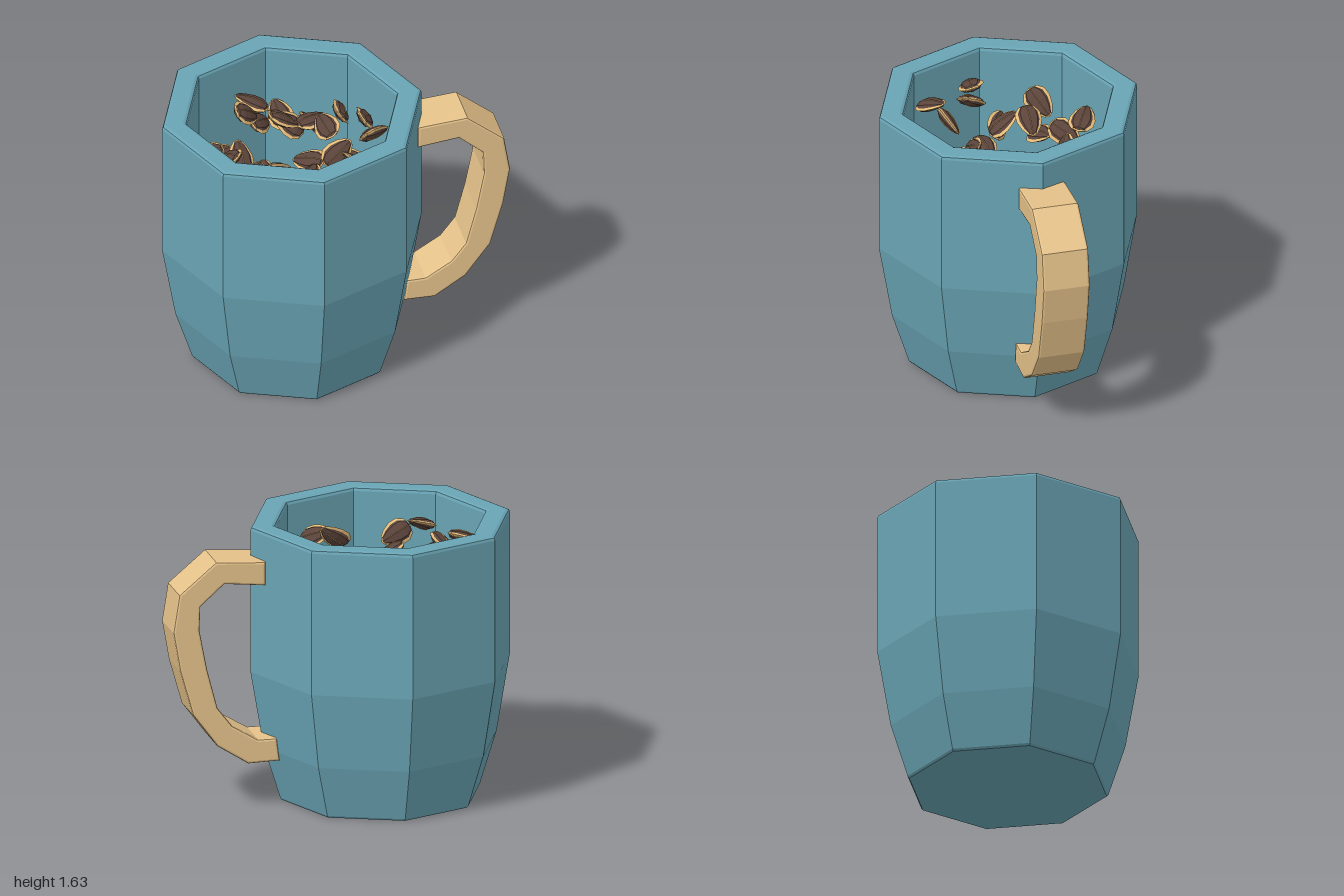
import * as THREE from 'three';

const paint = (color) => new THREE.MeshStandardMaterial({ color, flatShading: true });
const teal = paint(0x69a4b4), wood = paint(0xe5c28a), brown = paint(0x5c443b), cream = paint(0xe3bb78);

function part(name, geometry, material) {
  const mesh = new THREE.Mesh(geometry, material);
  mesh.name = name;
  return mesh;
}

// Eight-sided cup: outside wall, soft rim, inside wall and floor in one profile
function makeCup() {
  const profile = [
    [0, 0], [0.572, 0], [0.582, 0.012], [0.68, 0.32], [0.757, 0.77],
    [0.757, 1.605], [0.751, 1.62], [0.735, 1.627], [0.635, 1.627], [0.619, 1.62],
    [0.612, 1.605], [0.612, 0.77], [0.56, 0.45], [0, 0.45],
  ].map(([r, y]) => new THREE.Vector2(r, y));
  const cup = part('cup', new THREE.LatheGeometry(profile, 8), teal);
  cup.position.x = -0.243;
  return cup;
}

// Faceted handle: side outline extruded across, with small bevels
function makeHandle() {
  const outer = [[0.46, 1.455], [0.75, 1.475], [0.965, 1.295], [1, 1.075], [0.96, 0.845],
    [0.885, 0.58], [0.74, 0.385], [0.56, 0.27], [0.378, 0.275]];
  const inner = [[0.395, 0.41], [0.505, 0.41], [0.655, 0.5], [0.74, 0.61], [0.8, 0.84],
    [0.845, 1.075], [0.84, 1.215], [0.7, 1.34], [0.46, 1.315]];
  const shape = new THREE.Shape([...outer, ...inner].map(([x, y]) => new THREE.Vector2(x, y)));
  const bevel = 0.014, width = 0.275;
  const geometry = new THREE.ExtrudeGeometry(shape, {
    depth: width - 2 * bevel, bevelEnabled: true, bevelSize: bevel,
    bevelThickness: bevel, bevelOffset: -bevel, bevelSegments: 2,
  });
  geometry.translate(0, 0, bevel - 0.145);
  return part('handle', geometry, wood);
}

// Flat teardrop body, pointed at +x
function teardrop(length, thickness, width) {
  const geometry = new THREE.SphereGeometry(1, 8, 6).rotateZ(-Math.PI / 2);
  const p = geometry.attributes.position;
  for (let i = 0; i < p.count; i++) {
    const u = p.getX(i);
    const taper = 1 - 0.3 * u;
    p.setXYZ(i, u * length / 2, p.getY(i) * taper * thickness / 2, p.getZ(i) * taper * width / 2);
  }
  return geometry;
}

// Dark seed husk with a pale edge and a pale stripe on each face
const husk = teardrop(0.2, 0.062, 0.13);
const edge = teardrop(0.208, 0.032, 0.148);
const stripe = teardrop(0.202, 0.07, 0.012);

function makeSeed() {
  const seed = new THREE.Group();
  seed.name = 'seed';
  seed.add(part('seedHusk', husk, brown), part('seedEdge', edge, cream), part('seedStripe', stripe, cream));
  return seed;
}

// Seeds scattered in the cup: x, z and heading in degrees
const SPOTS = [
  [-0.19, -0.49, 100], [-0.36, -0.47, 150], [-0.34, -0.36, 45], [-0.61, -0.29, 20], [-0.57, -0.18, 100],
  [-0.45, -0.24, 30], [-0.65, -0.05, 150], [-0.53, -0.05, 90], [-0.76, 0.08, 170], [-0.64, 0.1, 120],
  [-0.55, 0.2, 130], [-0.57, 0.36, 35], [-0.41, 0.3, 20], [-0.38, 0.1, 10], [-0.26, 0.19, 120],
  [-0.39, -0.07, 80], [-0.26, -0.13, 0], [-0.12, -0.1, 140], [-0.15, 0.05, 60], [-0.18, -0.32, 160],
  [-0.02, -0.42, 120], [-0.05, -0.31, 20], [0.12, -0.32, 80], [0, -0.18, 100], [0.09, -0.09, 165],
  [0.22, -0.13, 60], [0.23, 0.04, 30], [0.04, 0.14, 50], [0.14, 0.2, 130], [-0.14, 0.35, 80],
  [-0.04, 0.26, 15], [0.05, 0.35, 140], [-0.06, 0.48, 10], [-0.22, 0.48, 90], [-0.3, 0.48, 60],
];

function makeSeeds() {
  const seeds = new THREE.Group();
  seeds.name = 'seeds';
  let state = 7;
  const random = () => (state = (state * 16807) % 2147483647) / 2147483647;
  for (let i = 0; i < 5; i++) random();
  for (const [x, z, heading] of SPOTS) {
    const seed = makeSeed();
    seed.position.set(x, 0.95 + 0.55 * random(), z);
    seed.rotation.order = 'YZX';
    seed.rotation.set((random() - 0.5) * 2.2, THREE.MathUtils.degToRad(heading), (random() - 0.5) * 1.6);
    seeds.add(seed);
  }
  return seeds;
}

export function createModel() {
  const model = new THREE.Group();
  model.name = 'mugOfSeeds';
  model.add(makeCup(), makeHandle(), makeSeeds());
  return model;
}
